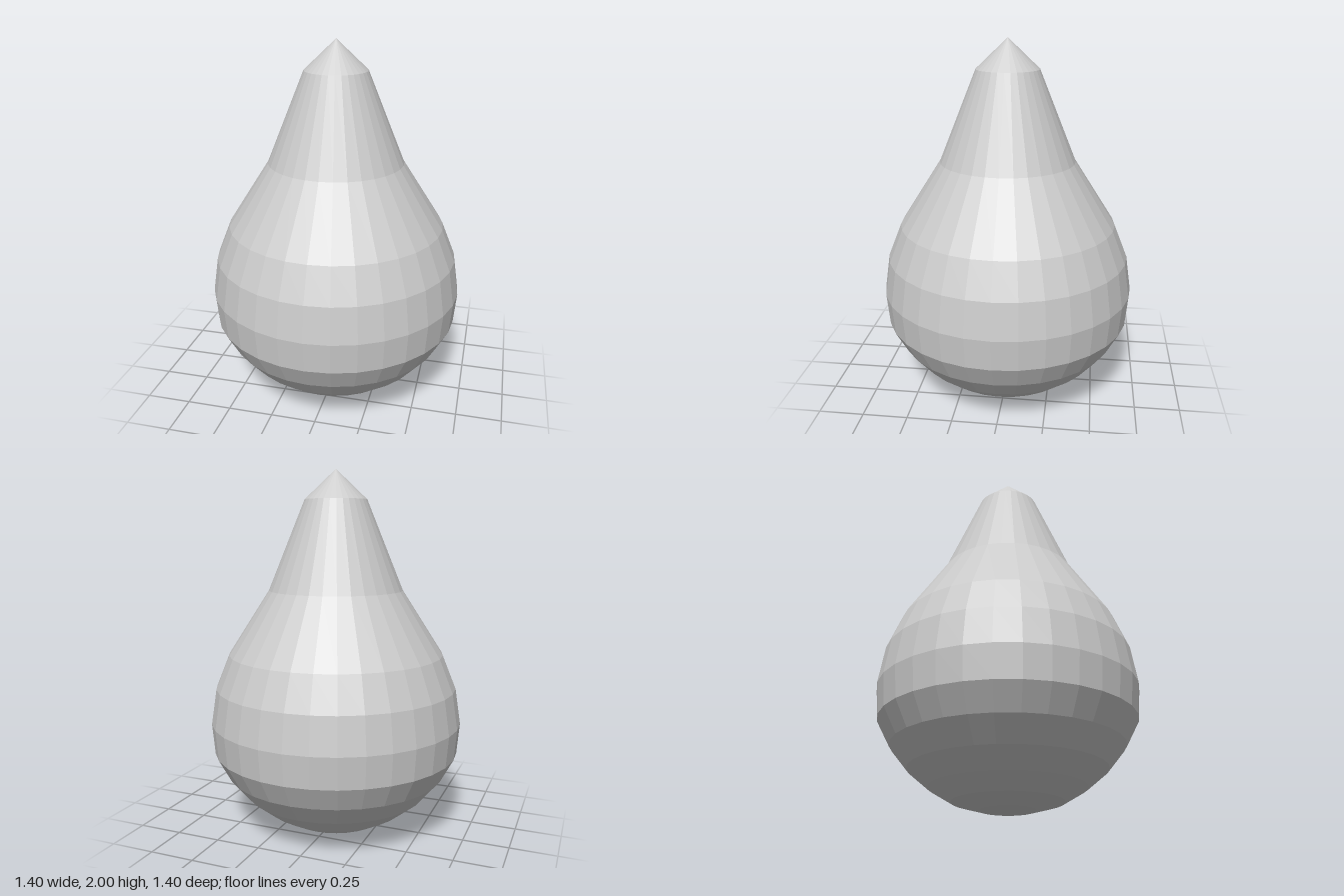
import * as THREE from 'three';

export function createModel() {
  const group = new THREE.Group();
  group.name = 'pear';

  // Profile from the base centre up to the tip: [radius, height]
  const profile = [
    [0, 0], [0.145, 0.005], [0.29, 0.045], [0.41, 0.115], [0.52, 0.205],
    [0.615, 0.32], [0.685, 0.45], [0.7, 0.62], [0.67, 0.815], [0.595, 1.0],
    [0.37, 1.35], [0.17, 1.84], [0, 2],
  ].map(([r, y]) => new THREE.Vector2(r, y));

  // Faceted pear-shaped body with a conical tip
  const body = new THREE.Mesh(
    new THREE.LatheGeometry(profile, 32),
    new THREE.MeshStandardMaterial({ color: 0xcccccc, flatShading: true })
  );
  body.name = 'body';
  group.add(body);

  return group;
}
